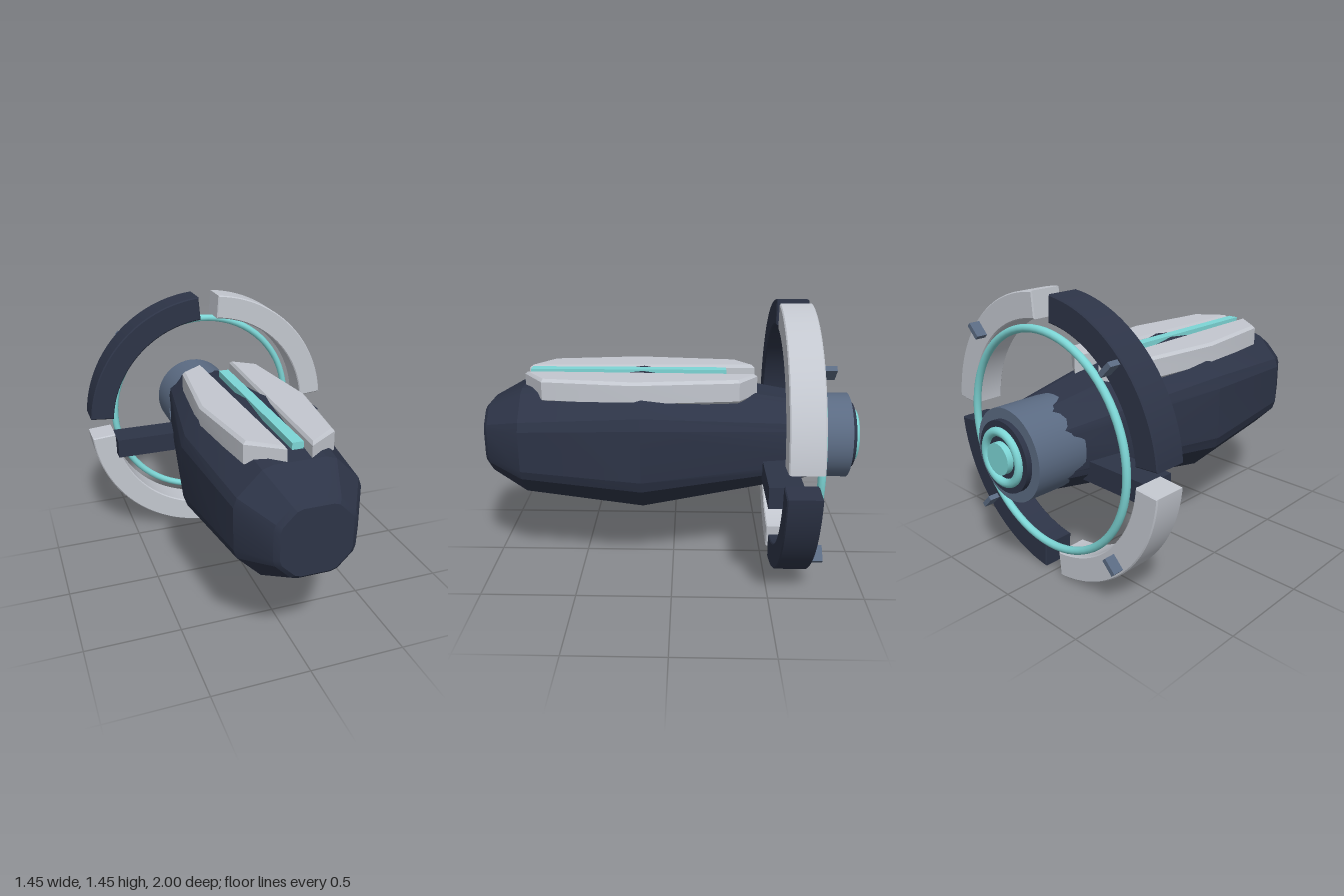
import * as THREE from 'three';
import { toCreasedNormals } from 'three/addons/utils/BufferGeometryUtils.js';

const CY = 0.73; // height of the long axis
const mat = (name, color) => {
  const m = new THREE.MeshStandardMaterial({ color });
  m.name = name;
  return m;
};

// Chamfered rectangle with softened corners, counter-clockwise seen from +z
function section(z, w, h) {
  const c = w * 0.48;
  const pts = [[w, c - h], [w, h - c], [w - c, h], [c - w, h], [-w, h - c], [-w, c - h], [c - w, -h], [w - c, -h]]
    .map(([x, y]) => new THREE.Vector3(x, CY + y, z));
  return pts.flatMap((p, i) => [
    p.clone().lerp(pts[(i + 7) % 8], 0.11),
    p.clone().lerp(pts[(i + 1) % 8], 0.11),
  ]);
}

// Skin between successive cross-sections, closed at both ends
function loft(sections) {
  const n = sections[0].length;
  const pos = sections.flat().flatMap((p) => [p.x, p.y, p.z]);
  const idx = [];
  for (let i = 0; i < sections.length - 1; i++) {
    for (let j = 0; j < n; j++) {
      const a = i * n + j, b = i * n + (j + 1) % n;
      idx.push(a, a + n, b, b, a + n, b + n);
    }
  }
  const last = (sections.length - 1) * n;
  for (let j = 1; j < n - 1; j++) {
    idx.push(0, j, j + 1, last, last + j + 1, last + j);
  }
  const g = new THREE.BufferGeometry();
  g.setAttribute('position', new THREE.Float32BufferAttribute(pos, 3));
  g.setIndex(idx);
  return toCreasedNormals(g, 0.3);
}

// Extrusion whose bevel stays inside the outline and the depth
function bevelled(shape, depth, bevel, curveSegments = 24) {
  const g = new THREE.ExtrudeGeometry(shape, {
    depth: depth - 2 * bevel, bevelEnabled: true, bevelThickness: bevel,
    bevelSize: bevel, bevelOffset: -bevel, bevelSegments: 1, curveSegments,
  });
  g.translate(0, 0, bevel);
  return toCreasedNormals(g, 0.4);
}

export function createModel() {
  const navy = mat('navy', 0x2d3447);
  const grey = mat('light grey', 0xc3c7cf);
  const teal = mat('teal', 0x7dd6d6);
  const slate = mat('slate', 0x5b6b83);
  const root = new THREE.Group();
  root.name = 'ringedPod';
  const add = (name, geometry, material, x = 0, y = 0, z = 0) => {
    const m = new THREE.Mesh(geometry, material);
    m.name = name;
    m.position.set(x, y, z);
    root.add(m);
    return m;
  };
  const disc = (r, depth, sides = 40) => new THREE.CylinderGeometry(r, r, depth, sides).rotateX(Math.PI / 2);

  // Faceted hull
  add('hull', loft([
    section(1.0, 0.175, 0.17), section(0.98, 0.2, 0.19), section(0.79, 0.315, 0.29),
    section(0.16, 0.375, 0.36), section(-0.78, 0.2, 0.205),
  ]), navy);

  // Twin top plates and the light strip between them
  for (const s of [1, -1]) {
    const outline = [[0.088, 0.44], [0.225, 0.34], [0.285, -0.2], [0.225, -0.67], [0.06, -0.785]];
    const shape = new THREE.Shape(outline.map(([x, y]) => new THREE.Vector2(s * x, y)));
    add(s > 0 ? 'leftTopPlate' : 'rightTopPlate',
      bevelled(shape, 0.125, 0.015).rotateX(-Math.PI / 2), grey, 0, 0.97, 0);
  }
  add('lightStrip', new THREE.BoxGeometry(0.056, 0.035, 1.04), teal, 0, 1.08, 0.24);

  // Four ring segments, alternating in colour, each with a small clip behind
  const gap = 0.083;
  for (let i = 0; i < 4; i++) {
    const a0 = i * Math.PI / 2 + gap, a1 = (i + 1) * Math.PI / 2 - gap;
    const arc = new THREE.Shape();
    arc.absarc(0, 0, 0.729, a0, a1, false);
    arc.absarc(0, 0, 0.596, a1, a0, true);
    add('ringSegment', bevelled(arc, 0.17, 0.006), i % 2 ? navy : grey, 0, CY, -0.71);

    const mid = (a0 + a1) / 2;
    const clip = add('ringClip', new THREE.BoxGeometry(0.085, 0.026, 0.07), slate,
      0.672 * Math.cos(mid), CY + 0.672 * Math.sin(mid), -0.732);
    clip.rotation.z = mid;
  }

  // Glowing inner ring
  add('lightRing', new THREE.TorusGeometry(0.557, 0.02, 12, 72), teal, 0, CY, -0.723);

  // Struts from hull to ring
  for (const s of [1, -1]) {
    add(s > 0 ? 'leftStrut' : 'rightStrut', new THREE.BoxGeometry(0.44, 0.11, 0.17), navy, s * 0.372, 0.615, -0.555);
  }

  // Rear engine
  add('engineHousing', disc(0.23, 0.28), slate, 0, CY, -0.8);
  add('enginePlate', disc(0.177, 0.04), navy, 0, CY, -0.948);
  add('engineRing', new THREE.TorusGeometry(0.125, 0.022, 12, 48), teal, 0, CY, -0.972);
  add('engineCore', disc(0.078, 0.04), teal, 0, CY, -0.98);

  return root;
}
